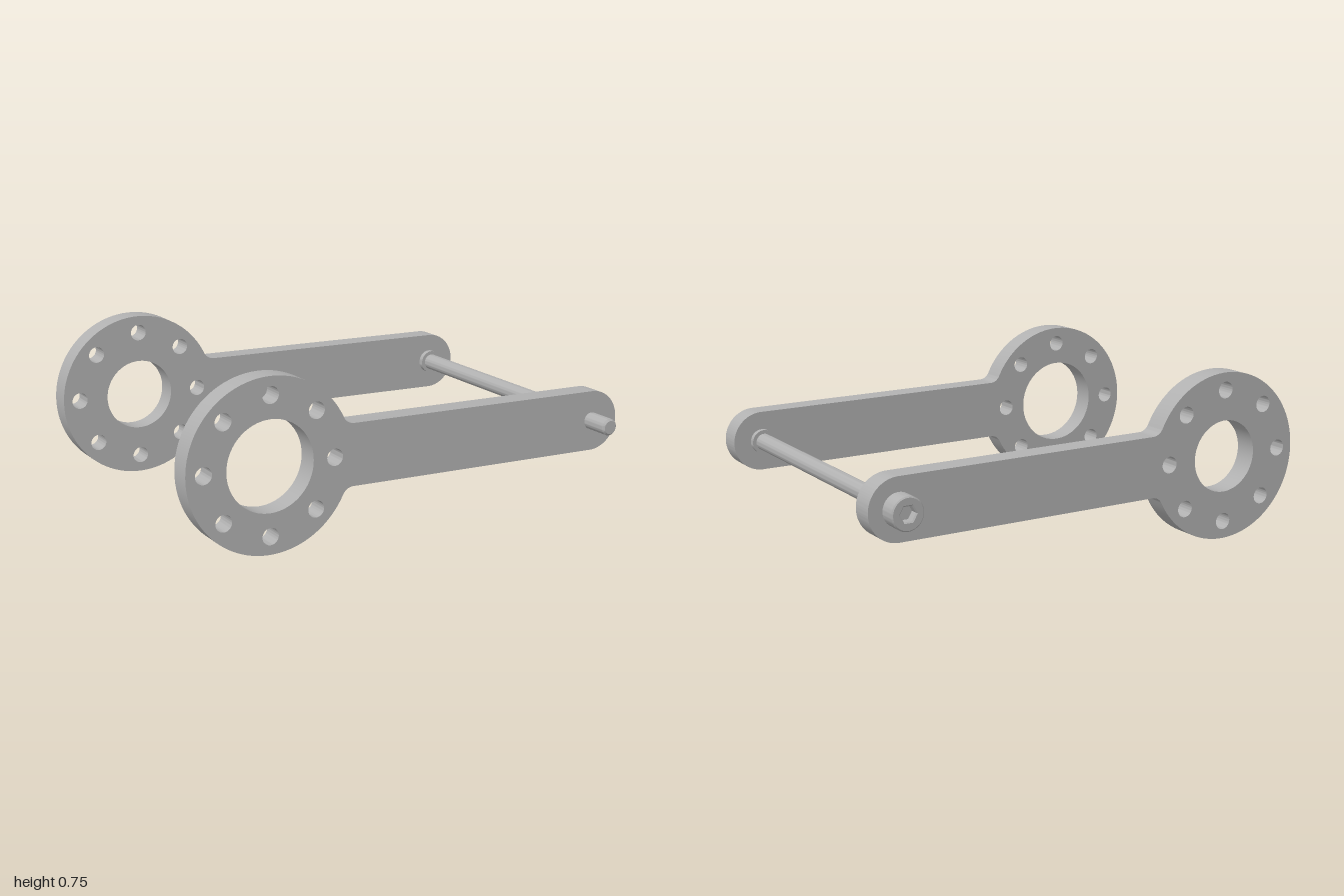
import * as THREE from 'three';
import { toCreasedNormals } from 'three/addons/utils/BufferGeometryUtils.js';

const RING = 0.354, ARM = 1.517, HALF = 0.128, FILLET = 0.05, THICK = 0.1;
const PLATE_Z = 0.646;

// Round hole path
function hole(x, y, r) {
  const p = new THREE.Path();
  p.absarc(x, y, r, 0, Math.PI * 2, true);
  return p;
}

// Ring with a filleted, round-ended arm, a bore and eight bolt holes
function plateGeometry(bore) {
  const cy = HALF + FILLET;
  const cx = Math.sqrt((RING + FILLET) ** 2 - cy ** 2);
  const phi = Math.atan2(cy, cx);
  const s = new THREE.Shape();
  s.moveTo(cx, -HALF);
  s.lineTo(ARM, -HALF);
  s.absarc(ARM, 0, HALF, -Math.PI / 2, Math.PI / 2, false);
  s.lineTo(cx, HALF);
  s.absarc(cx, cy, FILLET, -Math.PI / 2, phi - Math.PI, true);
  s.absarc(0, 0, RING, phi, Math.PI * 2 - phi, false);
  s.absarc(cx, -cy, FILLET, Math.PI - phi, Math.PI / 2, true);
  s.holes.push(hole(0, 0, bore));
  for (let i = 0; i < 8; i++) {
    const a = (i * Math.PI) / 4;
    s.holes.push(hole(0.28 * Math.cos(a), 0.28 * Math.sin(a), 0.035));
  }
  const g = new THREE.ExtrudeGeometry(s, { depth: THICK, bevelEnabled: false, curveSegments: 40 });
  g.translate(0, 0, -THICK / 2);
  return toCreasedNormals(g, 0.5);
}

// Turned part along z from [radius, z] points, listed from back to front
function turned(points) {
  const g = new THREE.LatheGeometry(points.map(([r, z]) => new THREE.Vector2(r, z)), 40);
  g.rotateX(Math.PI / 2);
  return toCreasedNormals(g, 0.5);
}

// Cap-screw head with a hexagonal socket
function headGeometry() {
  const s = new THREE.Shape();
  s.absarc(0, 0, 0.068, 0, Math.PI * 2, false);
  const hex = [];
  for (let i = 0; i < 6; i++) {
    const a = (-i * Math.PI) / 3;
    hex.push(new THREE.Vector2(0.034 * Math.cos(a), 0.034 * Math.sin(a)));
  }
  s.holes.push(new THREE.Path(hex));
  const g = new THREE.ExtrudeGeometry(s, {
    depth: 0.08, curveSegments: 32, bevelEnabled: true,
    bevelThickness: 0.005, bevelSize: 0.005, bevelOffset: -0.005, bevelSegments: 1,
  });
  g.translate(0, 0, -0.767);
  return toCreasedNormals(g, 0.5);
}

export function createModel() {
  const steel = new THREE.MeshStandardMaterial({ color: 0xb0b0b0 });
  steel.name = 'grey steel';
  const model = new THREE.Group();
  model.name = 'linkedArms';

  // The whole assembly leans slightly
  const assembly = new THREE.Group();
  assembly.name = 'assembly';
  assembly.position.set(-0.646, 0.379, -0.026);
  assembly.rotation.set(-0.034, 0, -0.029);
  model.add(assembly);

  const add = (name, geometry, x, z = 0) => {
    const mesh = new THREE.Mesh(geometry, steel);
    mesh.name = name;
    mesh.position.set(x, 0, z);
    assembly.add(mesh);
  };

  // Two arms, the rear one with the smaller bore
  add('frontArm', plateGeometry(0.186), 0, PLATE_Z);
  add('rearArm', plateGeometry(0.152), 0, -PLATE_Z);

  // Cross bolt: shank with chamfered tip, socket head
  add('boltShank', turned([[0, -0.735], [0.036, -0.735], [0.036, 0.817], [0.028, 0.826], [0, 0.826]]), ARM);
  add('boltHead', headGeometry(), ARM);

  // Collars against the inner faces
  const inner = PLATE_Z - THICK / 2;
  const collar = turned([[0, -0.024], [0.052, -0.024], [0.052, 0.024], [0, 0.024]]);
  add('frontCollar', collar, ARM, inner);
  add('rearCollar', collar, ARM, -inner);

  return model;
}
